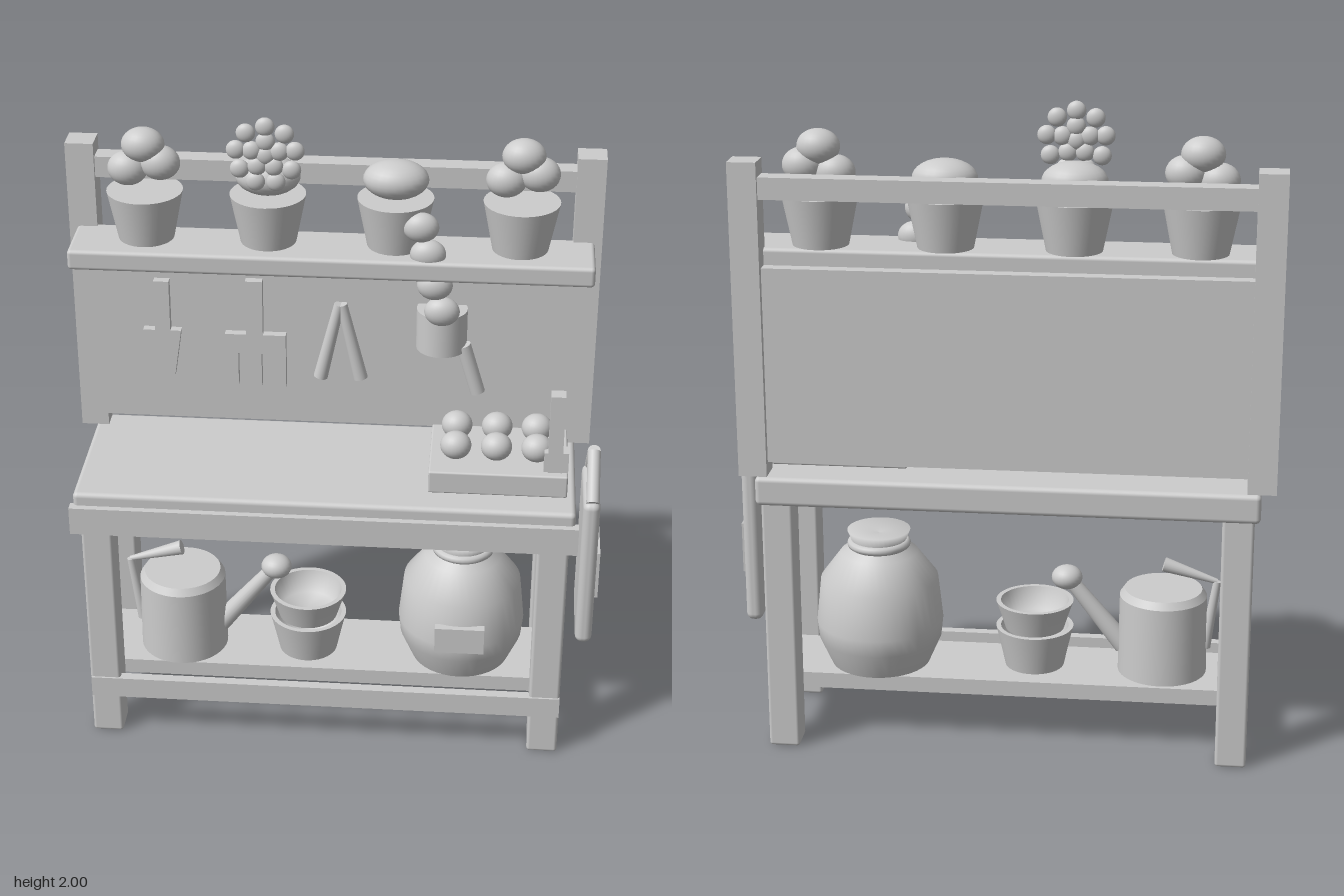
import * as THREE from 'three';
import { RoundedBoxGeometry } from 'three/addons/geometries/RoundedBoxGeometry.js';

export function createModel() {
  const model = new THREE.Group();
  model.name = 'pottingBench';
  const grey = new THREE.MeshStandardMaterial({ color: 0xcccccc });
  grey.name = 'plain grey';
  const greyOpen = new THREE.MeshStandardMaterial({ color: 0xcccccc, side: THREE.DoubleSide });
  greyOpen.name = 'plain grey open';

  const add = (name, geo, x = 0, y = 0, z = 0, mat = grey) => {
    const m = new THREE.Mesh(geo, mat);
    m.name = name;
    m.position.set(x, y, z);
    model.add(m);
    return m;
  };
  // Box given by its limits; a radius rounds its edges
  const box = (name, x0, x1, y0, y1, z0, z1, r = 0) => {
    const s = [x1 - x0, y1 - y0, z1 - z0];
    const g = r ? new RoundedBoxGeometry(...s, 3, r) : new THREE.BoxGeometry(...s);
    return add(name, g, (x0 + x1) / 2, (y0 + y1) / 2, (z0 + z1) / 2);
  };
  const blob = (name, x, y, z, rx, ry, rz) => {
    const m = add(name, new THREE.SphereGeometry(1, 24, 16), x, y, z);
    m.scale.set(rx, ry, rz);
    return m;
  };
  // Cylinder running from a to b
  const rod = (name, a, b, ra, rb) => {
    const p = new THREE.Vector3(...a), q = new THREE.Vector3(...b);
    const d = q.clone().sub(p);
    const m = add(name, new THREE.CylinderGeometry(rb, ra, d.length(), 20));
    m.position.copy(p).add(q).multiplyScalar(0.5);
    m.quaternion.setFromUnitVectors(new THREE.Vector3(0, 1, 0), d.normalize());
    return m;
  };
  const lathe = (name, pts, x, y, z) =>
    add(name, new THREE.LatheGeometry(pts.map(p => new THREE.Vector2(...p)), 40), x, y, z, greyOpen);
  const plate = (name, pts, depth, z) => {
    const s = new THREE.Shape(pts.map(p => new THREE.Vector2(...p)));
    return add(name, new THREE.ExtrudeGeometry(s, { depth, bevelEnabled: false }), 0, 0, z);
  };

  // Table
  box('tableTop', -0.777, 0.73, 0.80, 0.89, -0.26, 0.24, 0.015);
  box('frontApron', -0.787, 0.74, 0.76, 0.85, 0.228, 0.26);
  for (const x of [-0.76, 0.62])
    for (const z of [-0.247, 0.132])
      box('leg', x, x + 0.095, 0, 0.81, z, z + 0.098, 0.01);
  box('lowerShelf', -0.75, 0.71, 0.16, 0.21, -0.15, 0.13);
  box('lowerFrontRail', -0.757, 0.715, 0.14, 0.21, 0.205, 0.236);

  // Back frame
  box('upright', -0.82, -0.735, 0.895, 1.845, -0.262, -0.178);
  box('upright', 0.69, 0.775, 0.895, 1.845, -0.262, -0.178);
  box('topRail', -0.735, 0.69, 1.735, 1.80, -0.25, -0.19);
  box('backBoard', -0.735, 0.69, 0.935, 1.53, -0.24, -0.178);
  box('upperShelf', -0.797, 0.753, 1.517, 1.58, -0.20, 0.002, 0.012);

  // Pots on the upper shelf
  const potX = [-0.577, -0.212, 0.164, 0.533];
  for (const x of potX)
    add('flowerPot', new THREE.CylinderGeometry(0.113, 0.083, 0.15, 36), x, 1.655, -0.125);
  for (const x of [potX[0], potX[3]]) {
    blob('leafBall', x, 1.87, -0.128, 0.064, 0.052, 0.052);
    blob('leafBall', x - 0.048, 1.795, -0.128, 0.06, 0.052, 0.048);
    blob('leafBall', x + 0.048, 1.815, -0.128, 0.06, 0.052, 0.048);
  }
  for (const x of [potX[1], potX[2]])
    blob('leafMound', x, 1.785, -0.13, 0.097, 0.058, 0.073);

  // Flower head of small balls
  const ring = (n, r, a0) => {
    for (let i = 0; i < n; i++) {
      const a = a0 + (i / n) * Math.PI * 2;
      blob('blossom', -0.208 + Math.cos(a) * r, 1.885 + Math.sin(a) * r, -0.04, 0.028, 0.028, 0.017);
    }
  };
  ring(9, 0.087, Math.PI / 2);
  ring(5, 0.042, 0.3);
  ring(1, 0, 0);

  // Trailing plant
  for (const [x, y] of [[0.243, 1.675], [0.265, 1.59], [0.287, 1.49], [0.31, 1.405]])
    blob('trailingLeaf', x, y, -0.04, 0.053, 0.045, 0.037);

  // Tools hanging on the board
  plate('trowel', [[-0.57, 1.415], [-0.57, 1.25], [-0.607, 1.25], [-0.588, 1.095], [-0.549, 1.05],
    [-0.513, 1.095], [-0.49, 1.25], [-0.523, 1.25], [-0.523, 1.415]], 0.03, -0.182);
  plate('handFork', [[-0.29, 1.425], [-0.29, 1.245], [-0.355, 1.245], [-0.355, 1.07], [-0.315, 1.07],
    [-0.315, 1.18], [-0.282, 1.18], [-0.282, 1.07], [-0.243, 1.07], [-0.243, 1.18], [-0.205, 1.18],
    [-0.205, 1.07], [-0.168, 1.07], [-0.168, 1.245], [-0.238, 1.245], [-0.238, 1.425]], 0.03, -0.182);
  for (const s of [-1, 1])
    rod('shearBlade', [s * 0.062, 1.105, -0.163], [s * 0.004, 1.355, -0.163], 0.022, 0.016);
  add('hangingCup', new THREE.CylinderGeometry(0.077, 0.077, 0.13, 32), 0.308, 1.295, -0.152);
  rod('cupHandle', [0.423, 1.09, -0.13], [0.375, 1.25, -0.13], 0.023, 0.023);

  // Tray of bulbs with a small hand tool
  box('tray', 0.287, 0.703, 0.892, 0.965, -0.14, 0.152, 0.006);
  for (const x of [0.365, 0.487, 0.608])
    for (const z of [-0.055, 0.07])
      blob('bulb', x, 1.015, z, 0.047, 0.043, 0.043);
  box('trayToolHandle', 0.641, 0.685, 0.965, 1.222, 0.085, 0.128);
  box('trayToolBase', 0.63, 0.703, 0.96, 1.03, 0.08, 0.125);

  // Apron hanging at the side
  box('hangingApron', 0.754, 0.806, 0.36, 0.867, -0.115, 0.145, 0.022);
  box('apronPocket', 0.80, 0.817, 0.51, 0.67, -0.075, 0.105);
  for (const s of [-1, 1])
    rod('apronStrap', [0.782, 0.865, 0.015 + s * 0.115], [0.782, 0.98, 0.015], 0.02, 0.02);

  // Watering can
  lathe('wateringCan', [[0, 0], [0.138, 0], [0.138, 0], [0.135, 0.25], [0.135, 0.25], [0.12, 0.272],
    [0.12, 0.272], [0, 0.272]], -0.49, 0.21, 0);
  rod('canSpout', [-0.37, 0.285, 0], [-0.205, 0.49, 0], 0.032, 0.022);
  blob('canRose', -0.19, 0.505, 0, 0.048, 0.038, 0.045);
  rod('canHandleTop', [-0.655, 0.51, 0], [-0.49, 0.56, 0], 0.008, 0.023);
  rod('canHandleSide', [-0.622, 0.29, 0], [-0.655, 0.51, 0], 0.018, 0.012);

  // Stacked empty pots, open at the top
  for (const [y, h] of [[0.21, 0.13], [0.335, 0.09]])
    lathe('stackedPot', [[0, 0], [0.092, 0], [0.092, 0], [0.106, h * 0.5], [0.121, h], [0.121, h],
      [0.106, h], [0.106, h], [0.085, 0.02], [0, 0.02]], -0.09, y, 0);

  // Tied sack with a label
  lathe('sack', [[0, 0], [0.155, 0], [0.155, 0], [0.192, 0.085], [0.198, 0.14], [0.183, 0.28],
    [0.12, 0.365], [0.09, 0.38], [0.083, 0.40], [0.098, 0.437], [0, 0.425]], 0.397, 0.21, -0.015);
  const tie = add('sackTie', new THREE.TorusGeometry(0.085, 0.014, 10, 36), 0.397, 0.603, -0.015);
  tie.rotation.x = Math.PI / 2;
  box('sackLabel', 0.32, 0.473, 0.337, 0.425, 0.165, 0.192);

  return model;
}
